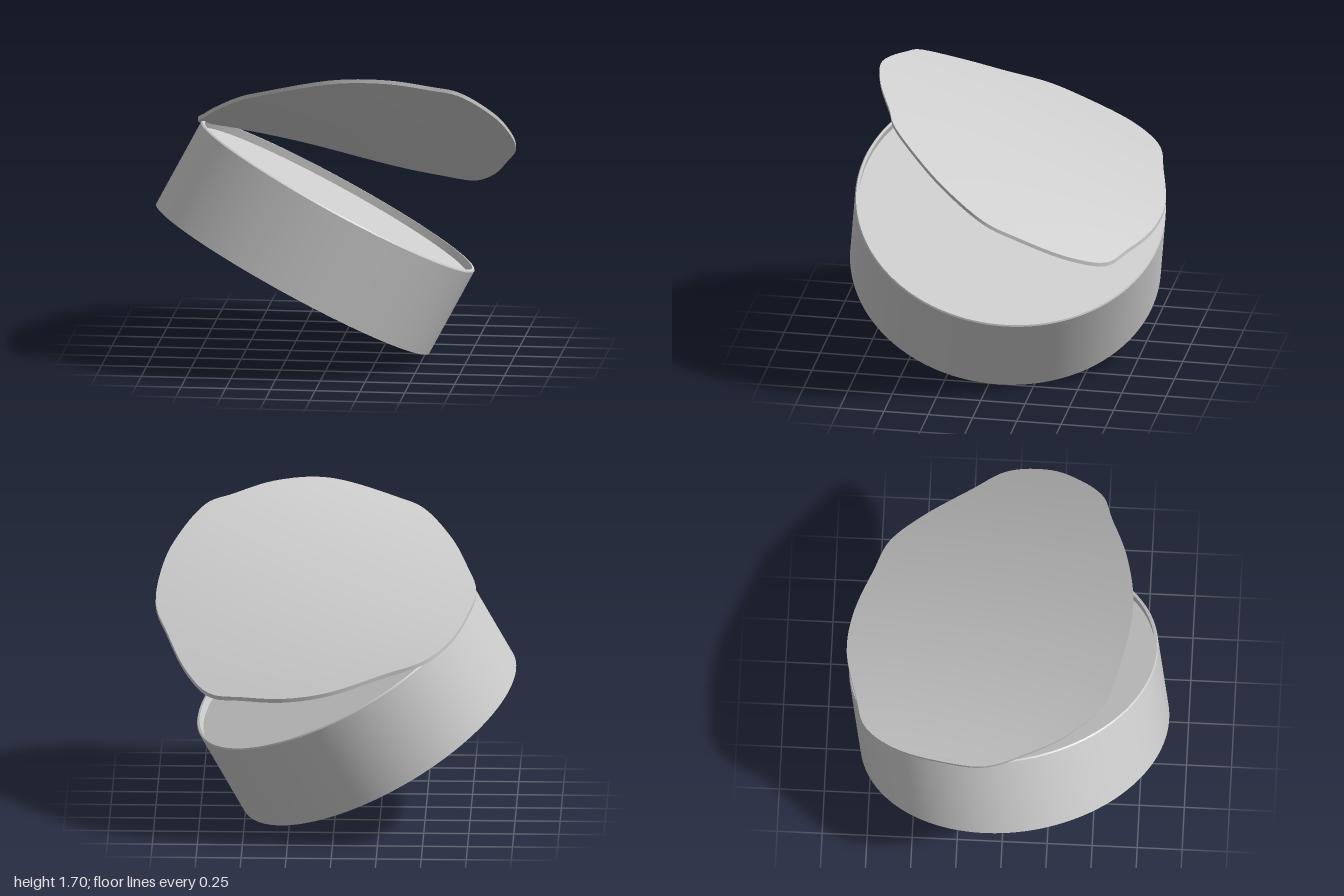
import * as THREE from 'three';
import { toCreasedNormals } from 'three/addons/utils/BufferGeometryUtils.js';

const R = 0.864, H = 0.53, WALL = 0.02, RECESS = 0.045;

// Bent sheet height over the ground plane: a tilted, slightly twisted saddle
function lidHeight(x, z) {
  const u = x - 0.11, v = z + 0.1;
  return 1.265 - 0.07 * u + 0.5 * v + 0.23 * u * v + 0.07 * v * v - 0.05 * u * u;
}

// Closed sheet built from shrinking copies of its outline, top and underside
function lidGeometry() {
  const outline = [
    [1.0, -0.06], [0.96, 0.17], [0.88, 0.32], [0.73, 0.49], [0.59, 0.545], [0.35, 0.64],
    [0.05, 0.69], [-0.32, 0.62], [-0.47, 0.565], [-0.63, 0.36], [-0.72, 0.14], [-0.78, -0.09],
    [-0.74, -0.33], [-0.64, -0.61], [-0.5, -0.775], [-0.3, -0.835], [0, -0.9],
    [0.25, -0.87], [0.5, -0.775], [0.68, -0.695], [0.81, -0.52], [0.93, -0.25],
  ];
  const curve = new THREE.CatmullRomCurve3(outline.map(([x, z]) => new THREE.Vector3(x, 0, z)), true);
  const N = 120, RINGS = 8, THICK = 0.022;
  const edge = curve.getPoints(N).slice(0, N);
  const pos = [], idx = [];
  for (const drop of [0, THICK]) {
    for (let r = 0; r <= RINGS; r++) {
      for (const p of edge) {
        const x = 0.11 + (p.x - 0.11) * r / RINGS;
        const z = -0.1 + (p.z + 0.1) * r / RINGS;
        pos.push(x, lidHeight(x, z) - drop, z);
      }
    }
  }
  const side = (RINGS + 1) * N;
  const quad = (a, b, c, d) => idx.push(a, b, c, a, c, d);
  for (let j = 0; j < N; j++) {
    const k = (j + 1) % N;
    for (let r = 0; r < RINGS; r++) {
      const a = r * N + j, b = r * N + k, c = a + N, d = b + N;
      if (r === 0) {
        idx.push(a, d, c, side + a, side + c, side + d);
      } else {
        quad(a, b, d, c);
        quad(side + a, side + c, side + d, side + b);
      }
    }
    const o = RINGS * N;
    quad(o + j, o + k, side + o + k, side + o + j);
  }
  const g = new THREE.BufferGeometry();
  g.setAttribute('position', new THREE.Float32BufferAttribute(pos, 3));
  g.setIndex(idx);
  return toCreasedNormals(g, 0.7);
}

export function createModel() {
  const model = new THREE.Group();
  const metal = new THREE.MeshStandardMaterial({ name: 'plain grey', color: 0xcccccc });
  const add = (parent, name, geometry) => {
    const mesh = new THREE.Mesh(geometry, metal);
    mesh.name = name;
    parent.add(mesh);
    return mesh;
  };

  // Tilted round tin
  const tin = new THREE.Group();
  tin.name = 'tin';
  tin.position.set(-0.235, 0.42, 0.045);
  const axis = new THREE.Vector3(0.465, 0.874, -0.14).normalize();
  tin.quaternion.setFromUnitVectors(new THREE.Vector3(0, 1, 0), axis);
  model.add(tin);

  // Wall with a narrow bevelled rim
  const profile = [
    [R, 0], [R, H - 0.008], [R - 0.006, H], [R - WALL, H], [R - WALL, H - RECESS],
  ].map(([x, y]) => new THREE.Vector2(x, y));
  add(tin, 'wall', toCreasedNormals(new THREE.LatheGeometry(profile, 128), 0.6));

  // Flat contents below the rim, and the base
  const contents = add(tin, 'contents', new THREE.CircleGeometry(R - WALL, 128));
  contents.rotation.x = -Math.PI / 2;
  contents.position.y = H - RECESS;
  const base = add(tin, 'base', new THREE.CircleGeometry(R, 128));
  base.rotation.x = Math.PI / 2;

  // Peeled, warped lid
  add(model, 'lid', lidGeometry());
  return model;
}
